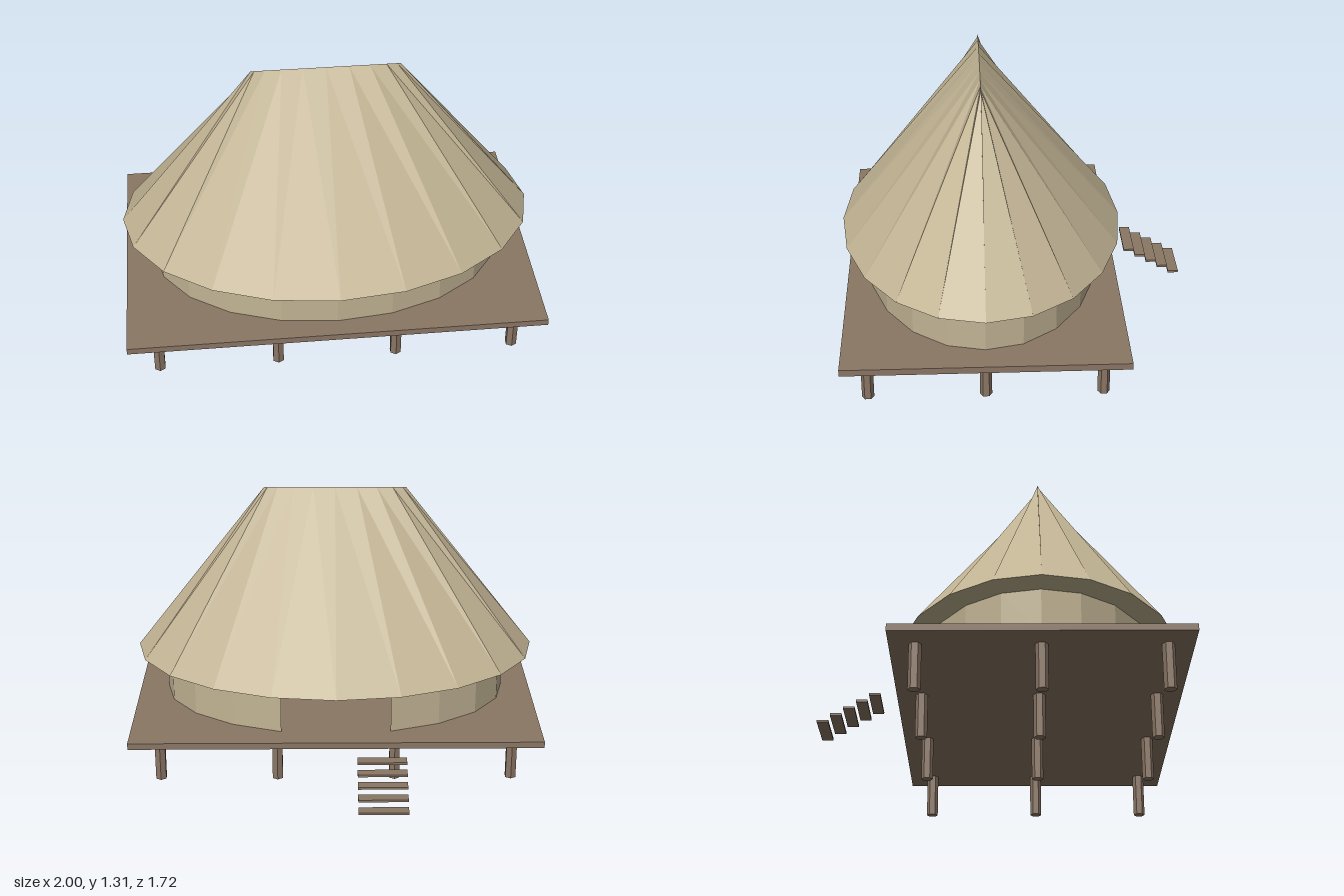
import * as THREE from 'three';

const SIDES = 20;
const CENTRE_Z = 0.17;
const DECK_TOP = 0.245;
const EAVE_Y = 0.48;
const RIDGE_Y = 1.313;

// Point on an elliptical ring, k counts facets from +x towards the front
function ringPoint(k, rx, rz, y) {
  const a = (k / SIDES) * Math.PI * 2;
  return [rx * Math.cos(a), y, rz * Math.sin(a)];
}

// Faceted band between two elliptical rings, with optional gaps and a closed underside
function bandGeometry(lower, upper, skip = [], closeBelow = false) {
  const pos = [];
  for (let k = 0; k < SIDES; k++) {
    if (skip.includes(k)) continue;
    const b0 = ringPoint(k, ...lower), b1 = ringPoint(k + 1, ...lower);
    const t0 = ringPoint(k, ...upper), t1 = ringPoint(k + 1, ...upper);
    pos.push(...b0, ...t0, ...t1, ...b0, ...t1, ...b1);
    if (closeBelow) pos.push(0, lower[2], 0, ...b0, ...b1);
  }
  const g = new THREE.BufferGeometry();
  g.setAttribute('position', new THREE.Float32BufferAttribute(pos, 3));
  g.computeVertexNormals();
  return g;
}

export function createModel() {
  const hut = new THREE.Group();
  hut.name = 'stiltHut';

  const thatch = new THREE.MeshStandardMaterial({ color: 0xc2b494, flatShading: true, side: THREE.DoubleSide });
  thatch.name = 'thatch';
  const wood = new THREE.MeshStandardMaterial({ color: 0x8b7765, flatShading: true });
  wood.name = 'wood';

  const add = (name, geometry, material, x, y, z) => {
    const mesh = new THREE.Mesh(geometry, material);
    mesh.name = name;
    mesh.position.set(x, y, z);
    hut.add(mesh);
  };

  // Roof: elliptical eave drawn up to a straight ridge
  add('roof', bandGeometry([1, 0.69, EAVE_Y], [0.35, 0, RIDGE_Y], [], true), thatch, 0, 0, CENTRE_Z);

  // Wall: elliptical ring with the doorway left open at the back
  add('wall', bandGeometry([0.86, 0.573, DECK_TOP], [0.86, 0.573, EAVE_Y], [14, 15]), thatch, 0, 0, CENTRE_Z);

  // Deck
  add('deck', new THREE.BoxGeometry(2, 0.032, 1.335), wood, 0, DECK_TOP - 0.016, CENTRE_Z);

  // Stilts: four by three hexagonal posts
  const post = new THREE.CylinderGeometry(0.0286, 0.0286, 0.214, 6);
  for (let i = 0; i < 4; i++) {
    for (let j = -1; j <= 1; j++) {
      add('stilt', post, wood, -0.857 + i * 0.5713, 0.107, CENTRE_Z + j * 0.55);
    }
  }

  // Steps descending from the back of the deck
  const tread = new THREE.BoxGeometry(0.235, 0.011, 0.053);
  for (let i = 0; i < 5; i++) {
    add('step', tread, wood, -0.217, 0.199 - i * 0.0336, -0.597 - i * 0.0592);
  }

  return hut;
}
